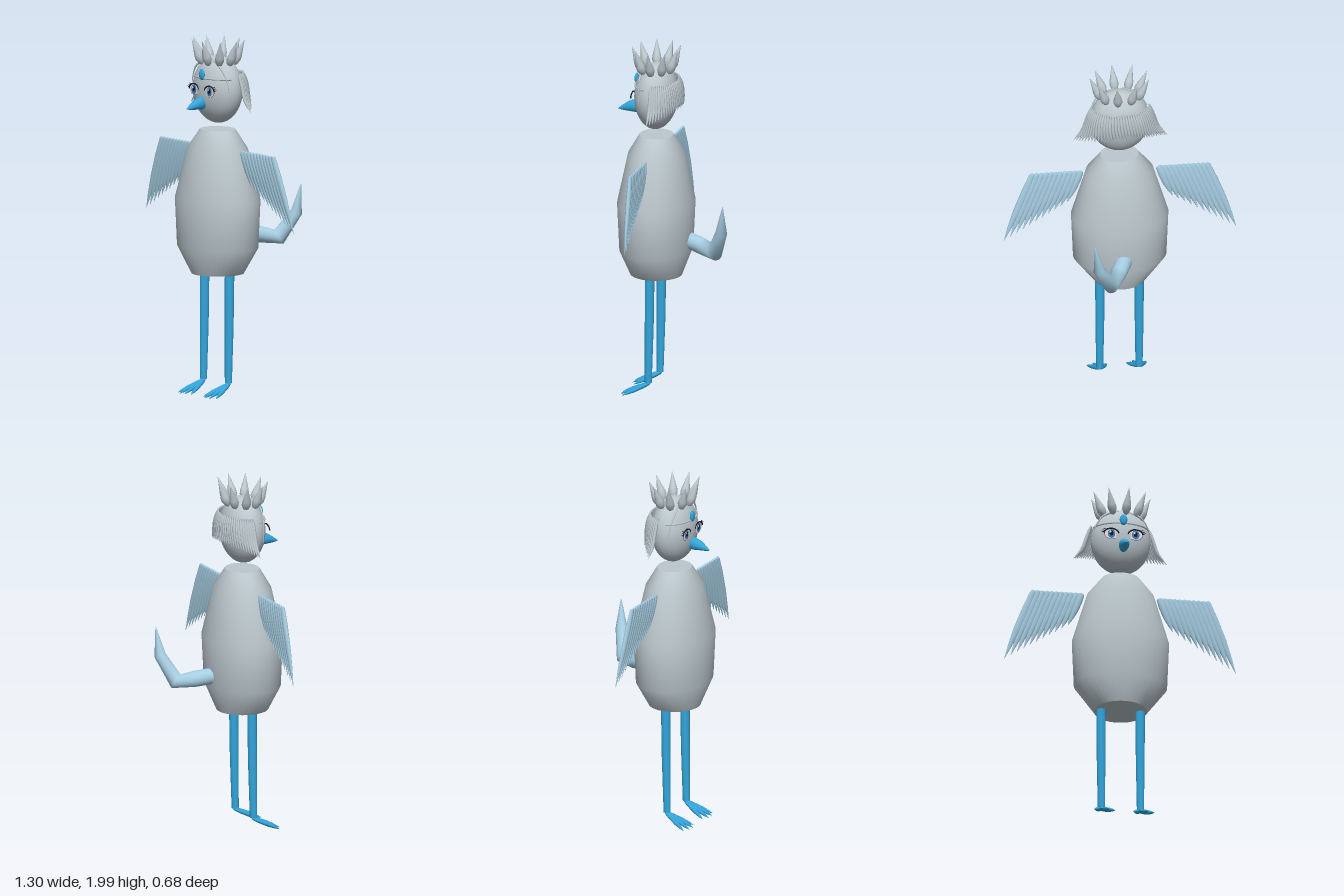
import * as THREE from 'three';

const paint = (name, color) => {
  const m = new THREE.MeshStandardMaterial({ color });
  m.name = name;
  return m;
};
const V = (x, y, z) => new THREE.Vector3(x, y, z);
const CZ = 0.117; // depth of the body axis

// Skin of elliptical rings along a path; radii are [across, deep] or one number, both ends capped.
function loft(path, radii, sides = 12, ref = V(1, 0, 0)) {
  const pos = [], idx = [];
  const ring = (i) => {
    const t = path[Math.min(i + 1, path.length - 1)].clone().sub(path[Math.max(i - 1, 0)]).normalize();
    const n = ref.clone().addScaledVector(t, -ref.dot(t)).normalize();
    const b = t.clone().cross(n);
    const [rn, rb] = [radii[i]].flat().length > 1 ? radii[i] : [radii[i], radii[i]];
    const start = pos.length / 3;
    for (let j = 0; j < sides; j++) {
      const a = (j / sides) * Math.PI * 2;
      const p = path[i].clone().addScaledVector(n, rn * Math.cos(a)).addScaledVector(b, rb * Math.sin(a));
      pos.push(p.x, p.y, p.z);
    }
    return start;
  };
  const starts = path.map((_, i) => ring(i));
  for (let i = 0; i < path.length - 1; i++) {
    for (let j = 0; j < sides; j++) {
      const k = (j + 1) % sides;
      const a = starts[i] + j, b = starts[i] + k, c = starts[i + 1] + j, d = starts[i + 1] + k;
      idx.push(a, b, c, b, d, c);
    }
  }
  // Flat caps with their own corners
  for (const i of [0, path.length - 1]) {
    const s = ring(i), c = pos.length / 3;
    pos.push(path[i].x, path[i].y, path[i].z);
    for (let j = 0; j < sides; j++) {
      const k = (j + 1) % sides;
      if (i === 0) idx.push(c, s + k, s + j);
      else idx.push(c, s + j, s + k);
    }
  }
  const g = new THREE.BufferGeometry();
  g.setAttribute('position', new THREE.Float32BufferAttribute(pos, 3));
  g.setIndex(idx);
  g.computeVertexNormals();
  return g;
}

export function createModel() {
  const grey = paint('softGrey', 0xbcc8ce);
  const pale = paint('paleBlue', 0xa6cde2);
  const blue = paint('brightBlue', 0x33a6dc);
  const white = paint('eyeWhite', 0xf4f6f8);
  const iris = paint('irisBlue', 0x3f7fc0);
  const dark = paint('lashDark', 0x1c1a26);
  const red = paint('lidRed', 0x8a3048);

  const model = new THREE.Group();
  const add = (name, geo, mat, parent = model) => {
    const m = new THREE.Mesh(geo, mat);
    m.name = name;
    parent.add(m);
    return m;
  };
  const group = (name) => {
    const g = new THREE.Group();
    g.name = name;
    model.add(g);
    return g;
  };

  // Egg-shaped body
  const rings = [[0.68, 0.147, 0.145], [0.83, 0.261, 0.2], [1.1, 0.272, 0.213], [1.385, 0.188, 0.154], [1.49, 0.106, 0.094]];
  add('body', loft(rings.map((r) => V(0, r[0], CZ)), rings.map((r) => [r[1], r[2]]), 40), grey);

  // Head, beak and forehead gem
  const head = add('head', new THREE.SphereGeometry(1, 36, 24), grey);
  head.scale.set(0.167, 0.19, 0.118);
  head.position.set(0, 1.715, CZ);
  add('beak', loft(
    [V(0, 1.645, 0.215), V(0, 1.645, 0.24), V(0, 1.638, 0.275), V(0, 1.626, 0.315), V(0, 1.62, 0.338)],
    [[0.022, 0.032], [0.028, 0.037], [0.027, 0.028], [0.014, 0.013], 0.002], 14), blue);
  const gem = add('gem', new THREE.SphereGeometry(1, 16, 12), blue);
  gem.scale.set(0.022, 0.032, 0.012);
  gem.position.set(0, 1.805, 0.23);

  // Thin circlet across the forehead
  const band = [];
  for (let i = 0; i <= 16; i++) {
    const a = -1.35 + (2.7 * i) / 16;
    band.push(V(0.16 * Math.sin(a), 1.785, CZ + 0.113 * Math.cos(a)));
  }
  add('circlet', loft(band, band.map(() => 0.005), 6, V(0, 1, 0)), grey);

  // Crown of nine teardrop spikes
  const crown = group('crown');
  for (let i = 0; i < 9; i++) {
    const a = ((10 + 40 * i) * Math.PI) / 180, s = Math.sin(a), c = Math.cos(a);
    const at = (t) => V(s * (0.1 + 0.068 * t), 1.852 + 0.143 * t, CZ + c * (0.078 + 0.057 * t));
    const ts = [0, 0.08, 0.25, 0.4, 0.7, 1];
    add('crownSpike', loft(ts.map(at), [0.004, 0.017, 0.026, 0.024, 0.012, 0.001], 10, V(c, 0, -s)), grey, crown);
  }

  // Hair strands hanging round the back and sides
  const hair = group('hair');
  const strands = 34;
  for (let i = 0; i < strands; i++) {
    const u = (i / (strands - 1)) * 2 - 1;
    const side = Math.abs(u) ** 2;
    const steps = [[0, 0.165, 0.122], [0.35, 0.19, 0.138], [0.7, 0.2 + 0.015 * side, 0.143], [1, 0.2 + 0.065 * side, 0.148]];
    const path = steps.map(([t, rx, rz]) => {
      const a = u * 1.42 - 0.1 * t * t * (1 - side);
      return V(Math.sin(a) * rx, 1.815 - t * (0.15 + 0.055 * side), CZ - Math.cos(a) * rz);
    });
    const curve = new THREE.CatmullRomCurve3(path).getPoints(7);
    add('hairStrand', loft(curve, [0.004, 0.009, 0.01, 0.01, 0.01, 0.009, 0.006, 0.001], 6), grey, hair);
  }

  // Parts mirrored left and right
  for (const s of [1, -1]) {
    const side = s > 0 ? 'left' : 'right';

    // Lock of hair framing the face
    const lock = new THREE.CatmullRomCurve3([
      V(s * 0.02, 1.885, 0.165), V(s * 0.105, 1.845, 0.18), V(s * 0.152, 1.77, 0.172), V(s * 0.168, 1.67, 0.165),
    ]).getPoints(12);
    add(side + 'FaceLock', loft(lock, lock.map((_, i) => 0.008 * (1 - i / 13)), 6, V(0, 0, 1)), grey, hair);

    // Eye made of thin layered plates
    const eye = group(side + 'Eye');
    const disc = (name, mat, x, y, rx, ry, z) => {
      const m = add(name, new THREE.CircleGeometry(1, 24), mat, eye);
      m.scale.set(rx, ry, 1);
      m.position.set(s * 0.068 + x, 1.715 + y, z);
    };
    disc('eyeRim', red, 0, 0, 0.041, 0.032, 0.229);
    disc('eyeWhite', white, 0, -0.001, 0.038, 0.029, 0.2305);
    disc('iris', iris, 0, 0, 0.021, 0.027, 0.232);
    disc('pupil', dark, 0, 0.002, 0.011, 0.016, 0.2335);
    disc('glint', white, -0.007, 0.011, 0.006, 0.007, 0.235);
    const lid = [];
    for (let i = 0; i <= 10; i++) {
      const a = 0.15 + ((Math.PI - 0.3) * i) / 10;
      lid.push(V(s * 0.068 + 0.043 * Math.cos(a), 1.714 + 0.033 * Math.sin(a), 0.232));
    }
    add('upperLash', loft(lid, lid.map(() => 0.004), 6, V(0, 0, 1)), dark, eye);
    for (let k = 0; k < 3; k++) {
      const x = s * (0.098 + 0.006 * k), y = 1.74 - 0.009 * k;
      add('lashTip', loft([V(x, y, 0.231), V(x + s * 0.018, y + 0.008, 0.228)], [0.003, 0.0005], 5, V(0, 0, 1)), dark, eye);
    }

    // Wing: row of feathers lengthening outward
    const wing = group(side + 'Wing');
    for (let i = 0; i < 11; i++) {
      const t = i / 10, len = 0.21 + 0.24 * t;
      const at = (k) => V(s * (0.218 + 0.268 * t + 0.365 * len * k), 1.388 - 0.93 * len * k, 0.117 - 0.017 * k * (0.4 + 0.6 * t));
      const ks = [0, 0.03, 0.25, 0.55, 0.8, 1];
      add('feather', loft(ks.map(at), [[0.012, 0.007], [0.018, 0.011], [0.022, 0.014], [0.021, 0.012], [0.012, 0.007], 0.001], 10), pale, wing);
    }

    // Leg and four splayed toes
    add(side + 'Leg', loft([V(s * 0.11, 0.72, 0.121), V(s * 0.11, 0.4, 0.124), V(s * 0.11, 0.075, 0.13)], [0.027, 0.025, 0.02], 16), blue);
    const foot = group(side + 'Foot');
    for (const d of [-0.057, -0.02, 0.02, 0.057]) {
      const tip = V(s * 0.11 + d, 0.004, 0.285 - 6 * d * d);
      const root = V(s * 0.11 + d * 0.05, 0.07, 0.125);
      const ks = [0, 0.2, 0.6, 0.85, 1];
      add('toe', loft(ks.map((k) => root.clone().lerp(tip, k)), [0.008, 0.012, 0.012, 0.007, 0.001], 8), blue, foot);
    }
  }

  // Bent tail rising to a point
  add('tail', loft(
    [V(-0.01, 0.895, -0.05), V(0.04, 0.875, -0.16), V(0.09, 0.86, -0.25), V(0.165, 1.0, -0.312), V(0.188, 1.16, -0.327)],
    [0.046, 0.046, 0.046, 0.033, 0.002], 18), pale);

  return model;
}
